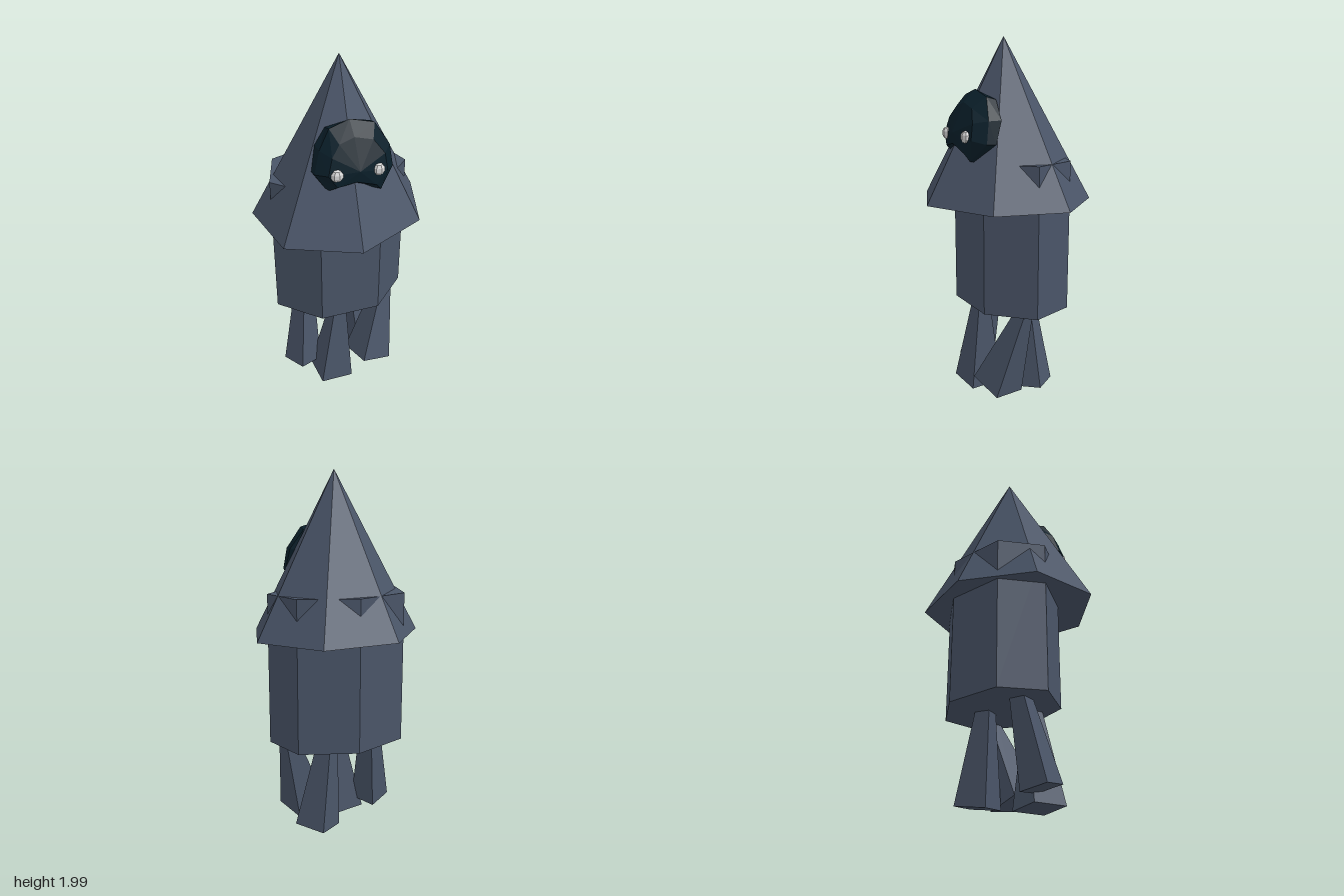
import * as THREE from 'three';

const V = (x, y, z) => new THREE.Vector3(x, y, z);

// Closed solid: start point, rings of equal length (counter-clockwise seen from the end), end point
function loft(start, rings, end) {
  const pos = [];
  const tri = (...pts) => pts.forEach((p) => pos.push(p.x, p.y, p.z));
  const n = rings[0].length;
  const last = rings[rings.length - 1];
  for (let i = 0; i < n; i++) {
    const j = (i + 1) % n;
    tri(start, rings[0][j], rings[0][i]);
    for (let k = 0; k + 1 < rings.length; k++) {
      const a = rings[k], b = rings[k + 1];
      tri(a[i], a[j], b[j]);
      tri(a[i], b[j], b[i]);
    }
    tri(end, last[i], last[j]);
  }
  const geo = new THREE.BufferGeometry();
  geo.setAttribute('position', new THREE.Float32BufferAttribute(pos, 3));
  geo.computeVertexNormals();
  return geo;
}

export function createModel() {
  const material = (name, color) => {
    const m = new THREE.MeshStandardMaterial({ color, flatShading: true });
    m.name = name;
    return m;
  };
  const cloth = material('slate cloth', 0x4a5568);
  const shadow = material('dark face', 0x0a1f2a);
  const eyeWhite = material('pale eye', 0xd8d8d8);

  const model = new THREE.Group();
  const add = (name, geo, mat) => {
    const mesh = new THREE.Mesh(geo, mat);
    mesh.name = name;
    model.add(mesh);
    return mesh;
  };
  const ringAt = (points, y) => points.map(([x, z]) => V(x, y, z));

  // Pointed hood with seven uneven sides
  const brim = [[-0.03, 0.435], [0.36, 0.25], [0.475, -0.135], [0.23, -0.44],
    [-0.195, -0.425], [-0.475, -0.11], [-0.4, 0.27]];
  add('hood', loft(V(-0.005, 1.125, -0.02), [ringAt(brim, 1.125)], V(-0.005, 2, -0.02)), cloth);

  // Seven-sided body whose upper corners poke through the hood
  const outline = [[0.16, 0.196], [0.375, -0.01], [0.3, -0.255], [-0.005, -0.365],
    [-0.315, -0.255], [-0.39, -0.01], [-0.18, 0.196]];
  add('body', loft(V(0, 0.53, -0.05), [ringAt(outline, 0.53), ringAt(outline, 1.357)], V(0, 1.357, -0.05)), cloth);

  // Four splayed legs: top, foot, top width, foot width, yaw
  const legs = [
    ['rightLeg', V(-0.21, 0.57, -0.07), V(-0.26, 0.085, 0.02), 0.08, 0.155, 0.5],
    ['frontLeg', V(-0.05, 0.57, 0.1), V(-0.1, 0.02, 0.1), 0.06, 0.195, 0.08],
    ['leftLeg', V(0.275, 0.57, 0), V(0.14, 0.085, 0.1), 0.06, 0.2, 0.25],
    ['backLeg', V(0.07, 0.57, -0.12), V(0.14, 0.04, -0.125), 0.075, 0.18, 0.65],
  ];
  for (const [name, top, foot, topWidth, footWidth, yaw] of legs) {
    const axis = top.clone().sub(foot);
    const geo = new THREE.CylinderGeometry(topWidth / Math.SQRT2, footWidth / Math.SQRT2, axis.length(), 4);
    geo.rotateY(Math.PI / 4 + yaw);
    const leg = add(name, geo, cloth);
    leg.position.copy(top).add(foot).multiplyScalar(0.5);
    leg.quaternion.setFromUnitVectors(V(0, 1, 0), axis.normalize());
  }

  // Bulging dark face, notched at the bottom and leaning back with the hood
  const rim = [[-0.01, 1.715, 0.13], [-0.12, 1.68, 0.1], [-0.18, 1.6, 0.11], [-0.215, 1.48, 0.15],
    [-0.155, 1.39, 0.21], [-0.02, 1.42, 0.22], [0.13, 1.365, 0.235], [0.215, 1.46, 0.15],
    [0.2, 1.58, 0.11], [0.125, 1.68, 0.1]].map((p) => V(...p));
  const dome = (s) => rim.map((p) => {
    const x = p.x * s, y = 1.53 + (p.y - 1.53) * s;
    return V(x, y, 0.285 - 0.9 * x * x - 0.5 * Math.max(0, y - 1.53));
  });
  const shoulder = dome(0.97).map((p, i) => V(p.x, p.y + (p.y > 1.66 ? 0.02 : 0), Math.max(rim[i].z + 0.02, p.z - 0.045)));
  add('face', loft(V(0, 1.55, 0.12), [rim, shoulder, dome(0.72)], V(0, 1.51, 0.292)), shadow);

  // Small faceted eyes
  for (const [name, x] of [['rightEye', -0.113], ['leftEye', 0.105]]) {
    const eye = add(name, new THREE.SphereGeometry(0.033, 7, 5), eyeWhite);
    eye.position.set(x, 1.495, 0.27);
    eye.scale.z = 0.7;
  }

  return model;
}
